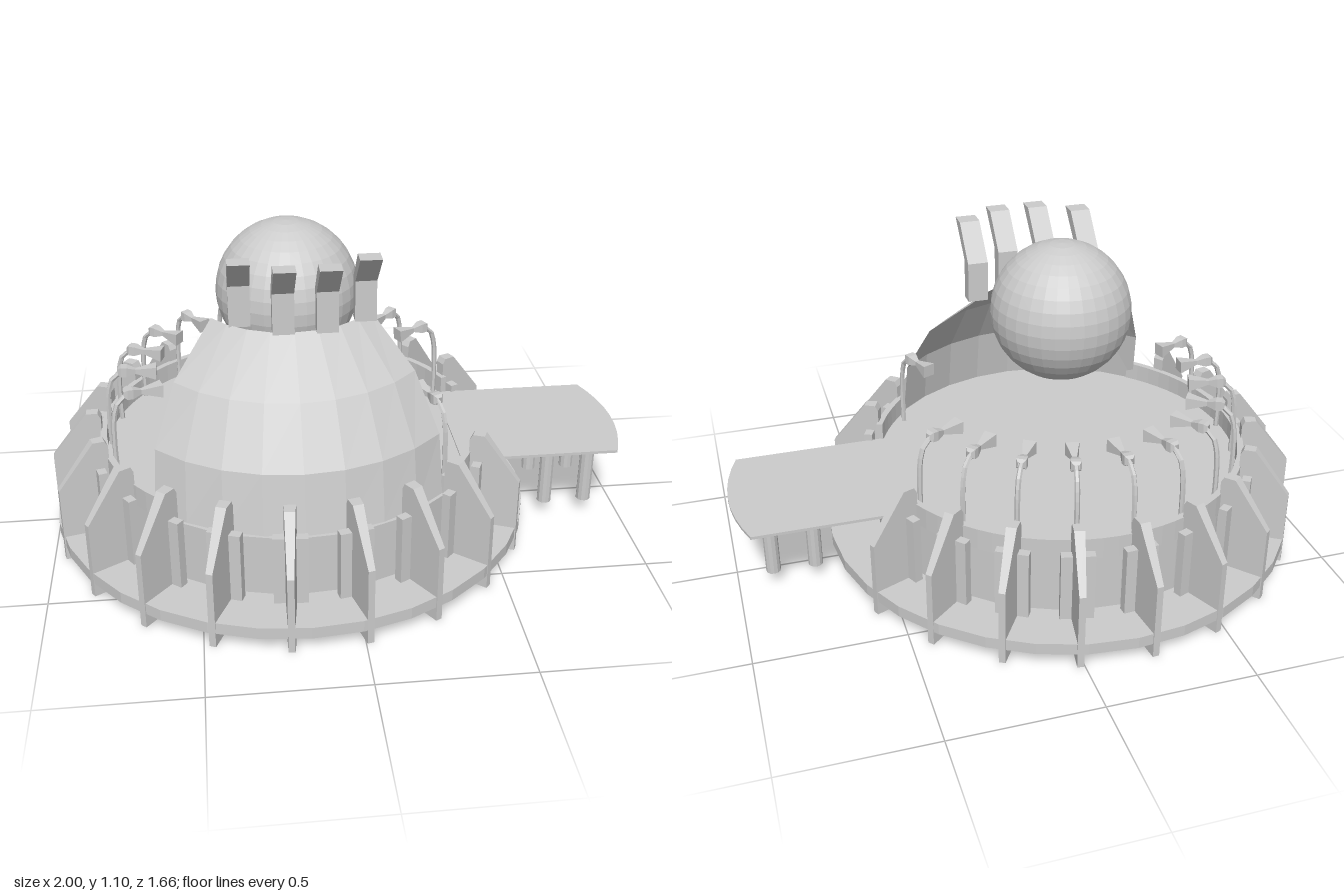
import * as THREE from 'three';

const material = new THREE.MeshStandardMaterial({ color: 0xcccccc, flatShading: true, side: THREE.DoubleSide });
const CX = -0.17; // axis of the round base
const STEP = (Math.PI * 2) / 21;
const rad = THREE.MathUtils.degToRad;

function add(parent, name, geometry, x = 0, y = 0, z = 0) {
  const mesh = new THREE.Mesh(geometry, material);
  mesh.name = name;
  mesh.position.set(x, y, z);
  parent.add(mesh);
  return mesh;
}

function extrude(points, depth) {
  const shape = new THREE.Shape(points.map(([x, y]) => new THREE.Vector2(x, y)));
  return new THREE.ExtrudeGeometry(shape, { depth, bevelEnabled: false });
}

// Curved strip of the parapet between two angles
function rimArc(from, to) {
  const shape = new THREE.Shape();
  shape.absarc(0, 0, 0.66, rad(from), rad(to), false);
  shape.absarc(0, 0, 0.638, rad(to), rad(from), true);
  const segments = Math.max(3, Math.round((to - from) / 9));
  return new THREE.ExtrudeGeometry(shape, { depth: 0.075, bevelEnabled: false, curveSegments: segments })
    .rotateX(-Math.PI / 2);
}

// Buttress: a radial fin that thins outward, with a cross block behind it
function makeButtress() {
  const group = new THREE.Group();
  group.name = 'buttress';
  const fin = extrude([[0.655, 0], [0.83, 0], [0.83, 0.27], [0.705, 0.43], [0.665, 0.43], [0.655, 0.41]], 0.04)
    .translate(0, 0, -0.02);
  const p = fin.attributes.position;
  for (let i = 0; i < p.count; i++) {
    const t = (p.getX(i) - 0.655) / 0.175;
    p.setZ(i, p.getZ(i) * (1 - 0.45 * t));
  }
  fin.computeVertexNormals();
  add(group, 'fin', fin);
  add(group, 'crossBlock', new THREE.BoxGeometry(0.03, 0.33, 0.11), 0.687, 0.165, 0);
  return group;
}

// Lamp: a bent post with a waisted head pointing toward -x
function makeLamp() {
  const group = new THREE.Group();
  group.name = 'lamp';
  const path = new THREE.CatmullRomCurve3([
    [0.01, 0.29], [0.012, 0.4], [0.005, 0.51], [-0.015, 0.56], [-0.06, 0.58],
  ].map(([x, y]) => new THREE.Vector3(x, y, 0)));
  add(group, 'post', new THREE.TubeGeometry(path, 10, 0.009, 6));
  const profile = [[0.012, 0], [0.024, 0.01], [0.024, 0.03], [0.011, 0.06], [0.032, 0.13], [0, 0.13]]
    .map(([x, y]) => new THREE.Vector2(x, y));
  const head = new THREE.LatheGeometry(profile, 4, Math.PI / 4).rotateZ(Math.PI / 2 + 0.06);
  add(group, 'lampHead', head, -0.03, 0.583, 0);
  return group;
}

// Quarter dome: rows of [height, radius, angle where the edge starts]
function makeShell() {
  const rows = [[0.3, 0.645, 43.7], [0.5, 0.61, 41.6], [0.685, 0.495, 38.5], [0.84, 0.31, 33]];
  const columns = 8;
  const geometry = new THREE.PlaneGeometry(1, 1, columns, rows.length - 1);
  const p = geometry.attributes.position;
  for (let i = 0; i < p.count; i++) {
    const [y, r, start] = rows[rows.length - 1 - Math.floor(i / (columns + 1))];
    const t = (i % (columns + 1)) / columns;
    const a = rad(180 - start - t * (180 - 2 * start));
    p.setXYZ(i, r * Math.cos(a), y, r * Math.sin(a));
  }
  geometry.computeVertexNormals();
  return geometry;
}

export function createModel() {
  const model = new THREE.Group();
  model.name = 'domedStation';
  const base = new THREE.Group();
  base.name = 'base';
  base.position.x = CX;
  model.add(base);

  // Round platform, drum and parapet with a gap at the landing deck
  add(base, 'platform', new THREE.CylinderGeometry(0.83, 0.83, 0.04, 32), 0, 0.07, 0);
  add(base, 'drum', new THREE.CylinderGeometry(0.655, 0.655, 0.21, 40), 0, 0.195, 0);
  add(base, 'parapet', rimArc(22.6, 226), 0, 0.29, 0);
  add(base, 'parapet', rimArc(-43.7, -22.6), 0, 0.29, 0);

  // Buttresses all round except at the landing deck
  for (let k = -9; k <= 9; k++) {
    const buttress = makeButtress();
    buttress.rotation.y = Math.PI - k * STEP;
    base.add(buttress);
  }

  // Lamps along the open side of the parapet
  for (let k = -1; k <= 9; k++) {
    const a = k * STEP;
    const lamp = makeLamp();
    lamp.position.set(-0.615 * Math.cos(a), 0, -0.615 * Math.sin(a));
    lamp.rotation.y = Math.PI - a;
    base.add(lamp);
  }
  // Single lamp beside the shell
  const sideLamp = makeLamp();
  sideLamp.position.set(0.48, 0, 0.36);
  sideLamp.rotation.y = rad(-66);
  base.add(sideLamp);

  // Shell and the floating globe
  add(base, 'shell', makeShell());
  add(base, 'globe', new THREE.SphereGeometry(0.24, 32, 18), 0, 0.86, -0.01);

  // Prongs on the shell's top edge, bent outward
  const prong = extrude([[0, 0], [0.05, 0], [0.05, 0.14], [0.165, 0.255], [0.105, 0.255], [0, 0.14]], 0.07)
    .rotateY(-Math.PI / 2).translate(0.035, 0, 0);
  [[-0.34, 0.19], [-0.205, 0.265], [-0.065, 0.265], [0.065, 0.19]].forEach(([x, z]) => {
    add(model, 'prong', prong, x, 0.835, z);
  });

  // Landing deck with a bowed outer edge, on four columns
  const deck = new THREE.Shape();
  deck.moveTo(0.4, -0.25);
  deck.lineTo(0.95, -0.25);
  deck.quadraticCurveTo(1.05, 0, 0.95, 0.25);
  deck.lineTo(0.4, 0.25);
  const deckGeometry = new THREE.ExtrudeGeometry(deck, { depth: 0.01, bevelEnabled: false, curveSegments: 8 })
    .rotateX(-Math.PI / 2);
  add(model, 'landingDeck', deckGeometry, 0, 0.295, 0);
  for (const x of [0.735, 0.88]) {
    for (const z of [0.14, -0.09]) {
      add(model, 'deckColumn', new THREE.CylinderGeometry(0.025, 0.025, 0.25, 12), x, 0.175, z);
    }
  }
  return model;
}
